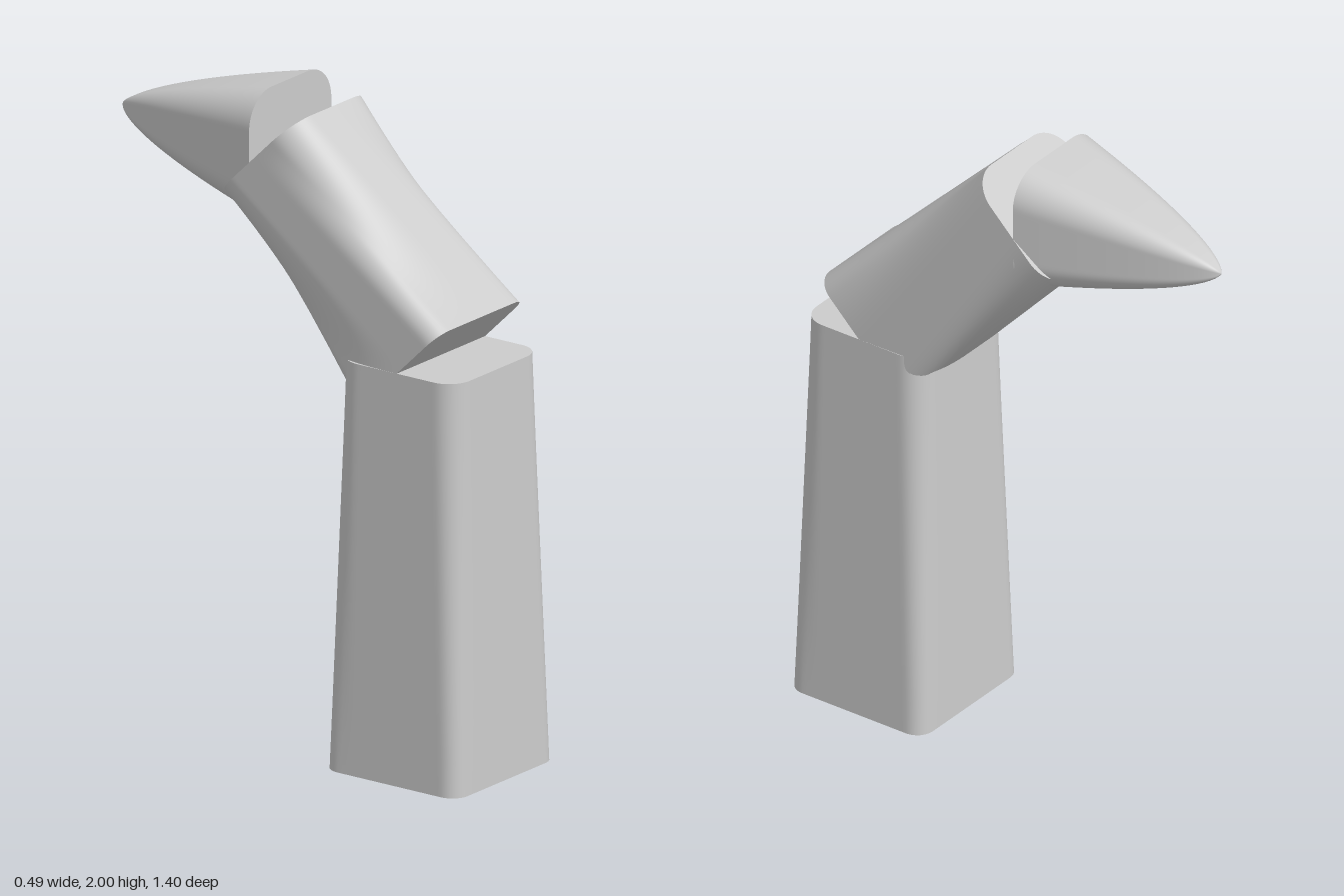
import * as THREE from 'three';

const N = 128; // points around each section

// Rounded rectangle, evenly spaced points, starting at the middle of the +x side
function section(w, d, r) {
  const s = new THREE.Shape();
  s.moveTo(w, 0);
  s.absarc(w - r, d - r, r, 0, Math.PI / 2);
  s.absarc(r - w, d - r, r, Math.PI / 2, Math.PI);
  s.absarc(r - w, r - d, r, Math.PI, Math.PI * 1.5);
  s.absarc(w - r, r - d, r, Math.PI * 1.5, Math.PI * 2);
  s.closePath();
  return s.getSpacedPoints(N).slice(0, N);
}

// Loft from section a to section b along +y; twist shifts the matching points,
// scale(t) shrinks the section along the way
function loft(a, b, height, { twist = 0, rows = 12, scale = () => 1, ease = t => t } = {}) {
  const pos = [], index = [];
  const ring = v => {
    const t = ease(v), k = scale(t);
    for (let i = 0; i < N; i++) {
      const p = a[i].clone().lerp(b[(i - twist + N) % N], t).multiplyScalar(k);
      pos.push(p.x, height * t, -p.y);
    }
  };
  for (let j = 0; j <= rows; j++) ring(j / rows);
  for (let j = 0; j < rows; j++) {
    for (let i = 0; i < N; i++) {
      const p = j * N + i, q = j * N + (i + 1) % N;
      index.push(p, q, q + N, p, q + N, p + N);
    }
  }
  // End caps with their own vertices, so the rims stay sharp
  for (const end of [0, 1]) {
    if (scale(end) < 0.001) continue;
    const start = pos.length / 3;
    ring(end);
    const c = pos.length / 3;
    pos.push(0, height * end, 0);
    for (let i = 0; i < N; i++) {
      const p = start + i, q = start + (i + 1) % N;
      if (end) index.push(c, p, q);
      else index.push(c, q, p);
    }
  }
  const g = new THREE.BufferGeometry();
  g.setAttribute('position', new THREE.Float32BufferAttribute(pos, 3));
  g.setIndex(index);
  g.computeVertexNormals();
  return g;
}

export function createModel() {
  const group = new THREE.Group();
  const material = new THREE.MeshStandardMaterial({ color: 0xcccccc });
  const add = (name, geometry, y, z, tilt) => {
    const mesh = new THREE.Mesh(geometry, material);
    mesh.name = name;
    mesh.position.set(0, y, z);
    mesh.rotation.x = tilt;
    group.add(mesh);
  };

  // Upright lower segment, slightly tapered
  add('lowerSegment',
    loft(section(0.245, 0.245, 0.055), section(0.215, 0.215, 0.075), 1.26), 0, 0.455, 0);

  // Middle segment, leaning back with a slight twist
  add('middleSegment',
    loft(section(0.215, 0.215, 0.06), section(0.2, 0.2, 0.1), 0.767, { twist: 8, rows: 24 }),
    1.258, 0.458, -0.777);

  // Horizontal tip, rounding off to a blunt point
  const tip = section(0.2, 0.2, 0.11);
  add('tipSegment',
    loft(tip, tip, 0.61, {
      rows: 40,
      scale: t => Math.pow(Math.max(0, 1 - t), 0.66),
      ease: v => 1 - (1 - v) ** 2.5,
    }), 1.8, -0.09, -Math.PI / 2);

  return group;
}
